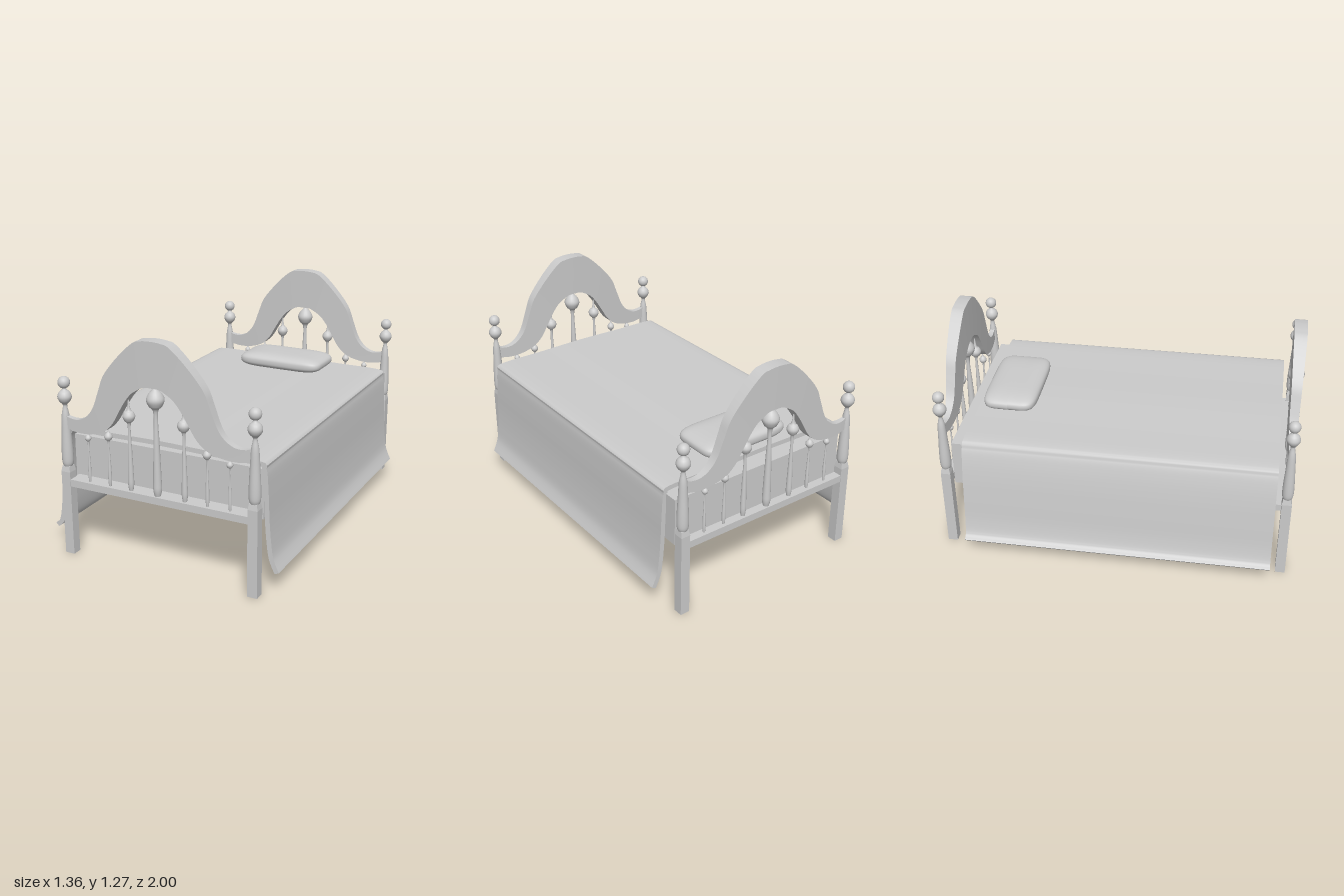
import * as THREE from 'three';
import { toCreasedNormals } from 'three/addons/utils/BufferGeometryUtils.js';

const material = new THREE.MeshStandardMaterial({ color: 0xcccccc });
const V2 = (x, y) => new THREE.Vector2(x, y);
const CX = 0.019; // centre line of the bed frame

function add(parent, name, geometry, x = 0, y = 0, z = 0) {
  const mesh = new THREE.Mesh(geometry, material);
  mesh.name = name;
  mesh.position.set(x, y, z);
  parent.add(mesh);
  return mesh;
}

// Box given by its lowest and highest corners
function block(parent, name, x0, y0, z0, x1, y1, z1) {
  return add(parent, name, new THREE.BoxGeometry(x1 - x0, y1 - y0, z1 - z0),
    (x0 + x1) / 2, (y0 + y1) / 2, (z0 + z1) / 2);
}

// Turned part: smooth profile of [radius, height], bottom to top
function turned(profile, samples = 48) {
  const pts = new THREE.SplineCurve(profile.map(([r, y]) => V2(r, y))).getPoints(samples);
  pts.forEach((p) => { p.x = Math.max(p.x, 0); });
  return new THREE.LatheGeometry(pts, 20);
}

// Solid band between an upper and a lower line running towards +x;
// front and back give its z faces as functions of x
function band(upper, lower, front, back) {
  const pos = [], idx = [], n = upper.length;
  for (let i = 0; i < n; i++) {
    const u = upper[i], l = lower[i];
    pos.push(u.x, u.y, front(u.x), u.x, u.y, back(u.x), l.x, l.y, back(l.x), l.x, l.y, front(l.x));
  }
  for (let i = 0; i < n - 1; i++) {
    for (let j = 0; j < 4; j++) {
      const a = i * 4 + j, d = i * 4 + (j + 1) % 4;
      idx.push(a, a + 4, d + 4, a, d + 4, d);
    }
  }
  const e = (n - 1) * 4;
  idx.push(0, 1, 2, 0, 2, 3, e, e + 2, e + 1, e, e + 3, e + 2);
  const g = new THREE.BufferGeometry();
  g.setAttribute('position', new THREE.Float32BufferAttribute(pos, 3));
  g.setIndex(idx);
  return toCreasedNormals(g, 0.7);
}

// Mirror a half outline and sample it as one smooth line
function mirroredLine(half) {
  const left = half.slice(1).reverse().map(([x, y]) => V2(-x, y));
  const curve = new THREE.SplineCurve([...left, ...half.map(([x, y]) => V2(x, y))]);
  return Array.from({ length: 81 }, (_, i) => curve.getPoint(i / 80));
}

function archGeometry() {
  const upper = [[0, 1.27], [0.055, 1.266], [0.105, 1.25], [0.195, 1.168], [0.285, 1.06], [0.323, 0.97],
    [0.363, 0.87], [0.407, 0.815], [0.46, 0.787], [0.515, 0.787], [0.55, 0.8]];
  const lower = [[0, 1.03], [0.03, 1.03], [0.06, 1.022], [0.12, 0.985], [0.165, 0.93], [0.205, 0.865],
    [0.245, 0.8], [0.3, 0.75], [0.38, 0.722], [0.47, 0.715], [0.55, 0.73]];
  // Thick in the middle, thin at the posts
  const half = (x) => 0.012 + 0.024 * Math.cos(Math.min(Math.abs(x) / 0.55, 1) * Math.PI / 2);
  return band(mirroredLine(upper), mirroredLine(lower), half, (x) => -half(x));
}

// Spindle with a slim body, a bulb of radius R at height y and a pointed tip
function spindleGeometry(b, R, y, top) {
  return turned([[0.7 * b, 0.44], [b, 0.475], [0.95 * b, 0.53], [0.7 * b, 0.44 + (y - 0.44) * 0.55],
    [0.5 * b, y - 1.55 * R], [0.75 * R, y - 0.7 * R], [R, y], [0.75 * R, y + 0.65 * R],
    [0.28 * R, y + 1.2 * R], [0, top]]);
}

// One end of the bed: posts, arch, spindles and rail
function bedEnd(name) {
  const end = new THREE.Group();
  end.name = name;
  for (const s of [-1, 1]) {
    const x = 0.554 * s;
    block(end, 'leg', x - 0.0275, 0, -0.0275, x + 0.0275, 0.48, 0.0275);
    const taper = new THREE.CylinderGeometry(0.022 * Math.SQRT2, 0.0275 * Math.SQRT2, 0.032, 4);
    taper.rotateY(Math.PI / 4);
    add(end, 'legShoulder', toCreasedNormals(taper, 0.5), x, 0.496, 0);
    add(end, 'post', turned([[0.024, 0.51], [0.031, 0.535], [0.031, 0.6], [0.026, 0.7], [0.021, 0.79],
      [0.012, 0.84], [0.014, 0.856], [0.03, 0.874], [0.038, 0.897], [0.03, 0.92], [0.014, 0.935], [0.009, 0.948]]), x);
    add(end, 'finial', new THREE.SphereGeometry(0.033, 20, 14), x, 0.975, 0);
  }
  add(end, 'arch', archGeometry());
  // Offset, body radius, bulb radius, bulb height, top
  for (const [dx, b, R, y, top] of [
    [0, 0.023, 0.047, 0.962, 1.04], [0.16, 0.016, 0.033, 0.85, 0.965],
    [0.29, 0.01, 0.022, 0.717, 0.765], [0.417, 0.0085, 0.017, 0.687, 0.725]]) {
    for (const s of dx ? [-1, 1] : [1]) add(end, 'spindle', spindleGeometry(b, R, y, top), dx * s);
  }
  block(end, 'endRail', -0.54, 0.4, -0.025, 0.54, 0.44, 0.025);
  return end;
}

function blanketGeometry() {
  const line = [[-0.676, 0.106], [-0.645, 0.135], [-0.626, 0.22], [-0.612, 0.36], [-0.598, 0.49], [-0.58, 0.6],
    [-0.558, 0.675], [-0.525, 0.698], [-0.3, 0.7], [0, 0.705], [0.3, 0.7], [0.565, 0.697], [0.595, 0.67],
    [0.606, 0.55], [0.613, 0.4], [0.623, 0.28], [0.637, 0.19], [0.668, 0.117]];
  const curve = new THREE.SplineCurve(line.map(([x, y]) => V2(x, y)));
  const upper = [], lower = [];
  for (let i = 0; i <= 136; i++) {
    const p = curve.getPoint(i / 136), t = curve.getTangent(i / 136);
    const n = V2(-t.y, t.x).multiplyScalar(0.013);
    upper.push(p.clone().add(n));
    lower.push(p.clone().sub(n));
  }
  return band(upper, lower, () => 0.893, () => -0.838);
}

// Rounded cushion: a sphere pushed towards a box
function pillowGeometry(w, h, d) {
  const g = new THREE.SphereGeometry(1, 48, 24);
  const p = g.attributes.position;
  const pow = (v, e) => Math.sign(v) * Math.abs(v) ** e;
  for (let i = 0; i < p.count; i++) {
    const y = THREE.MathUtils.clamp(p.getY(i), -1, 1);
    const r = Math.sqrt(1 - y * y), a = Math.atan2(p.getZ(i), p.getX(i));
    const k = r ** 0.55;
    p.setXYZ(i, w * k * pow(Math.cos(a), 0.35), h * pow(y, 0.75), d * k * pow(Math.sin(a), 0.35));
  }
  g.computeVertexNormals();
  return g;
}

export function createModel() {
  const bed = new THREE.Group();
  bed.name = 'bed';

  for (const [name, z] of [['footboard', 0.953], ['headboard', -0.953]]) {
    const end = bedEnd(name);
    end.position.set(CX, 0, z);
    bed.add(end);
  }

  // Hollow bed base, open underneath
  const base = new THREE.Group();
  base.name = 'bedBase';
  bed.add(base);
  const [x0, x1, z0, z1, t] = [-0.527, 0.592, -0.913, 0.89, 0.015];
  block(base, 'baseTop', x0, 0.655, z0, x1, 0.67, z1);
  block(base, 'baseSide', x0, 0.4, z0, x0 + t, 0.655, z1);
  block(base, 'baseSide', x1 - t, 0.4, z0, x1, 0.655, z1);
  block(base, 'baseEnd', x0 + t, 0.4, z0, x1 - t, 0.655, z0 + t);
  block(base, 'baseEnd', x0 + t, 0.4, z1 - t, x1 - t, 0.655, z1);
  // Short ledge joining the base to the foot rail
  block(base, 'footLedge', x0 + t, 0.4, z1, x1 - t, 0.44, 0.93);

  add(bed, 'blanket', blanketGeometry());
  add(bed, 'pillow', pillowGeometry(0.273, 0.048, 0.155), CX, 0.757, -0.657);
  return bed;
}
